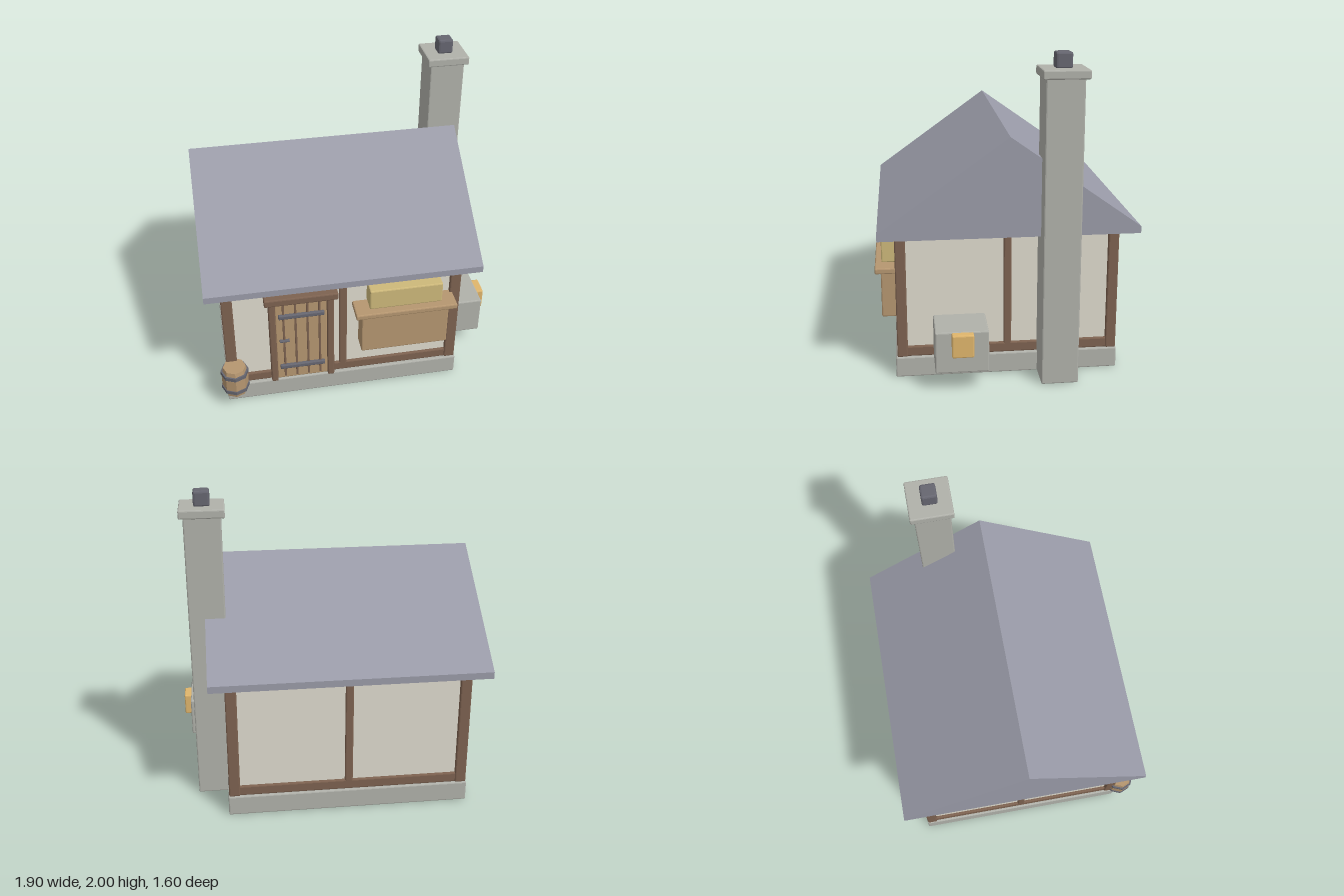
import * as THREE from 'three';
import { RoundedBoxGeometry } from 'three/addons/geometries/RoundedBoxGeometry.js';

const mat = (color, extra = {}) => new THREE.MeshStandardMaterial({ color, flatShading: true, ...extra });
const stone = mat(0xb0b1aa), slate = mat(0x9a9ba8), plaster = mat(0xdedacd), beam = mat(0x7d6250);
const plank = mat(0xb59670), straw = mat(0xcdb87a), brass = mat(0xdfb56c), iron = mat(0x666670);

// Bevelled box given by its limits along each axis
function box(parent, name, material, [x0, x1], [y0, y1], [z0, z1], bevel = 0.008) {
  const w = x1 - x0, h = y1 - y0, d = z1 - z0;
  const r = Math.min(bevel, Math.min(w, h, d) * 0.3);
  const mesh = new THREE.Mesh(new RoundedBoxGeometry(w, h, d, 1, r), material);
  mesh.position.set((x0 + x1) / 2, (y0 + y1) / 2, (z0 + z1) / 2);
  mesh.name = name;
  parent.add(mesh);
  return mesh;
}

function group(parent, name) {
  const g = new THREE.Group();
  g.name = name;
  parent.add(g);
  return g;
}

// Roof shell: gable section swept along x, open underneath
function roofGeometry(x0, x1) {
  const section = [[0.76, 0.914], [0.76, 0.957], [-0.02, 1.518], [-0.81, 0.957], [-0.81, 0.914]];
  const pos = [];
  const put = (x, i) => pos.push(x, section[i][1], section[i][0]);
  for (let i = 0; i < section.length - 1; i++) {
    put(x0, i); put(x1, i); put(x1, i + 1);
    put(x0, i); put(x1, i + 1); put(x0, i + 1);
    if (i > 0) {
      put(x1, 0); put(x1, i + 1); put(x1, i);
      put(x0, 0); put(x0, i); put(x0, i + 1);
    }
  }
  const g = new THREE.BufferGeometry();
  g.setAttribute('position', new THREE.Float32BufferAttribute(pos, 3));
  g.computeVertexNormals();
  return g;
}

function addTimberFrame(root) {
  const frame = group(root, 'timberFrame');
  const height = [0.13, 0.92];
  const xPosts = [[-0.855, -0.785], [0.59, 0.66]];
  const zPosts = [[-0.705, -0.64], [0.595, 0.66]];
  for (const x of xPosts) for (const z of zPosts) box(frame, 'cornerPost', beam, x, height, z);
  // Rails and middle posts on the front and back walls
  for (const z of [[0.6, 0.652], [-0.697, -0.64]]) {
    box(frame, 'bottomRail', beam, [-0.82, 0.62], [0.13, 0.195], z);
    box(frame, 'topRail', beam, [-0.82, 0.62], [0.89, 0.935], z);
    box(frame, 'middlePost', beam, [-0.122, -0.072], height, z);
  }
  // Rails and middle posts on the side walls
  for (const x of [[-0.847, -0.79], [0.59, 0.652]]) {
    box(frame, 'bottomRail', beam, x, [0.13, 0.195], [-0.67, 0.62]);
    box(frame, 'topRail', beam, x, [0.89, 0.935], [-0.67, 0.62]);
    box(frame, 'middlePost', beam, x, height, [-0.045, 0.003]);
  }
}

function addDoor(root) {
  const door = group(root, 'door');
  box(door, 'doorPanel', plank, [-0.53, -0.2], [0.13, 0.765], [0.61, 0.66]);
  box(door, 'doorTrim', iron, [-0.53, -0.2], [0.765, 0.778], [0.61, 0.668]);
  for (const x of [[-0.57, -0.528], [-0.203, -0.16]]) box(door, 'doorJamb', beam, x, [0.13, 0.78], [0.61, 0.685]);
  box(door, 'lintel', beam, [-0.595, -0.135], [0.775, 0.825], [0.61, 0.7]);
  for (let i = 0; i < 4; i++) {
    const x = -0.478 + i * 0.076;
    box(door, 'plankSeam', beam, [x - 0.007, x + 0.007], [0.15, 0.755], [0.65, 0.666], 0.003);
  }
  for (const y of [0.24, 0.66]) box(door, 'hingeStrap', iron, [-0.51, -0.22], [y - 0.015, y + 0.015], [0.655, 0.68], 0.006);
  box(door, 'latch', iron, [-0.508, -0.445], [0.455, 0.467], [0.655, 0.68], 0.004);
}

function addBarrel(root) {
  const barrel = group(root, 'barrel');
  barrel.position.set(-0.807, 0.13, 0.705);
  const profile = [[0, 0], [0.072, 0], [0.084, 0.06], [0.084, 0.14], [0.072, 0.202], [0, 0.202]];
  const body = new THREE.Mesh(new THREE.LatheGeometry(profile.map(p => new THREE.Vector2(...p)), 8), plank);
  body.name = 'barrelBody';
  barrel.add(body);
  for (const y of [0.045, 0.16]) {
    const band = new THREE.Mesh(new THREE.CylinderGeometry(0.089, 0.089, 0.025, 8), iron);
    band.position.y = y;
    band.name = 'barrelBand';
    barrel.add(band);
  }
}

export function createModel() {
  const root = new THREE.Group();
  root.name = 'cottage';

  box(root, 'foundation', stone, [-0.86, 0.665], [0, 0.13], [-0.71, 0.67]);
  box(root, 'walls', plaster, [-0.83, 0.635], [0.12, 1.0], [-0.68, 0.635], 0.002);
  addTimberFrame(root);

  // Slate outside, timber lining inside
  const roof = group(root, 'roof');
  const shell = roofGeometry(-0.952, 0.757);
  const outside = new THREE.Mesh(shell, slate);
  outside.name = 'roofSlates';
  const inside = new THREE.Mesh(shell, mat(0x7d6250, { side: THREE.BackSide }));
  inside.name = 'roofLining';
  roof.add(outside, inside);

  addDoor(root);

  // Serving counter on the front wall
  const counter = group(root, 'counter');
  box(counter, 'counterFront', plank, [0.005, 0.565], [0.362, 0.66], [0.62, 0.747]);
  box(counter, 'counterShelf', plank, [-0.037, 0.608], [0.657, 0.694], [0.62, 0.782]);
  box(counter, 'counterGoods', straw, [0.055, 0.517], [0.7, 0.842], [0.62, 0.742]);

  // Chimney standing against the left wall
  const chimney = group(root, 'chimney');
  box(chimney, 'chimneyStack', stone, [0.632, 0.855], [0, 1.87], [-0.43, -0.205]);
  box(chimney, 'chimneyCap', stone, [0.61, 0.88], [1.857, 1.91], [-0.455, -0.185]);
  box(chimney, 'chimneyPot', iron, [0.695, 0.792], [1.905, 2.0], [-0.367, -0.27], 0.012);

  // Stone oven with its small hatch
  const oven = group(root, 'oven');
  box(oven, 'ovenBody', stone, [0.62, 0.902], [0.13, 0.39], [0.118, 0.437]);
  box(oven, 'ovenHatch', brass, [0.89, 0.947], [0.245, 0.387], [0.21, 0.34]);

  addBarrel(root);
  return root;
}
